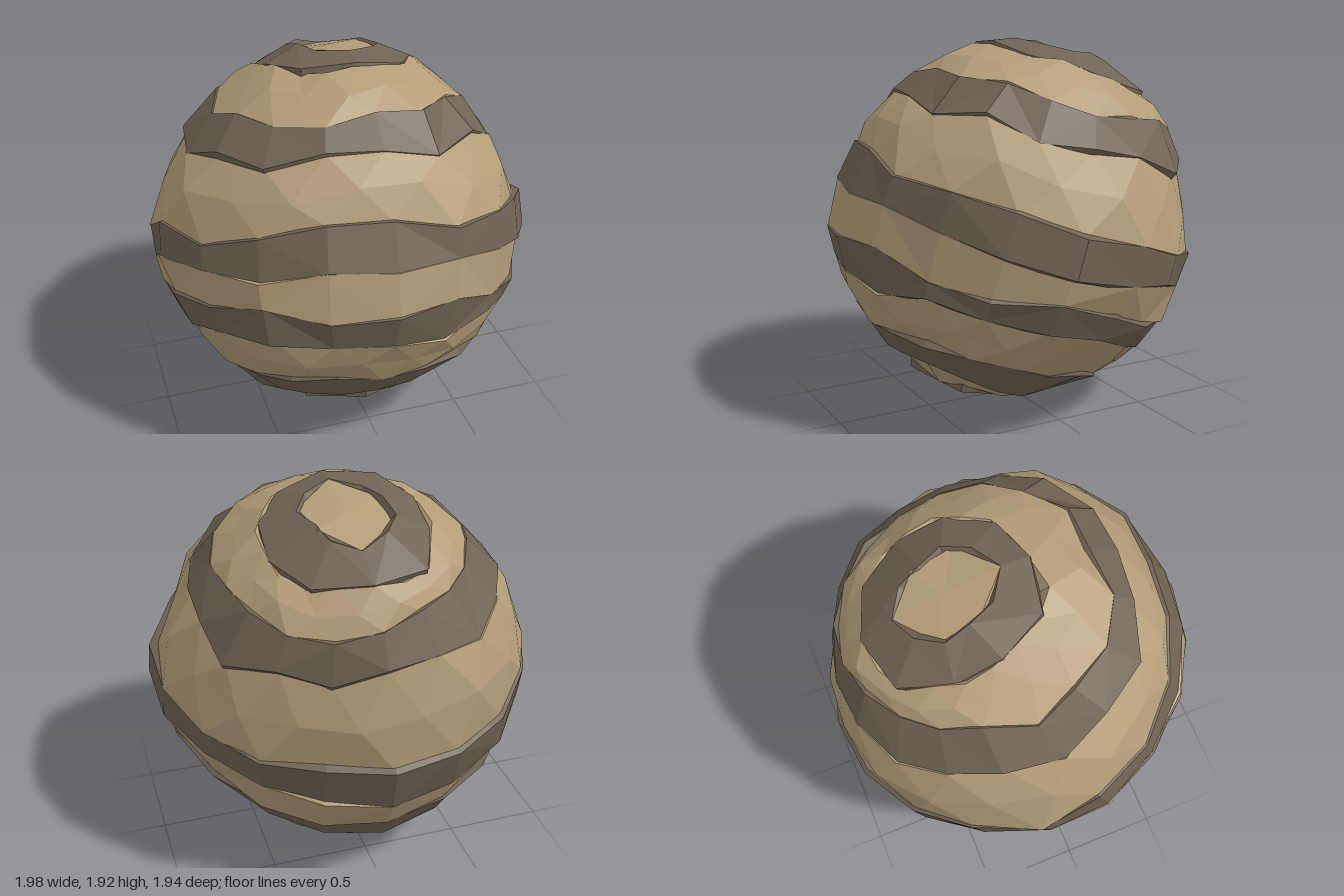
import * as THREE from 'three';

const rad = THREE.MathUtils.degToRad;

// Repeatable noise in -1..1
const noise = (a, b) => {
  const s = Math.sin(a * 127.1 + b * 311.7 + 4.3) * 43758.5453;
  return 2 * (s - Math.floor(s)) - 1;
};

// Polar angles (degrees) where one layer meets the next
const EDGES = [0, 14, 27, 43, 57, 83, 94, 105.5, 116, 134, 147, 160, 180];
const LAYERS = EDGES.length - 1;
const RADII = [0.945, 0.955, 0.945, 0.955, 0.945, 0.96, 0.95, 0.96, 0.945, 0.955, 0.935, 0.955];

// Broad swellings and hollows: direction, height
const SWELLS = [
  [0, 0.67, -0.75, 0.045], [0, 0.55, 0.7, -0.045], [0.8, 0.45, 0, -0.06], [1, -0.1, 0, 0.07],
  [-1, 0.1, 0, 0.06], [0, -0.73, -0.7, 0.035], [0, -0.5, 0.75, -0.04], [0, -0.1, 1, 0.02],
  [0.6, -0.7, 0, -0.04], [0.35, 0, -0.83, -0.055], [-0.7, 0, -0.7, 0.04], [0, 1, -0.2, 0.01],
  [0.55, 0, 0.73, -0.02], [-0.7, -0.62, 0, -0.01], [0.85, -0.4, 0, -0.04], [-0.75, 0.6, 0, -0.02],
  [0, -1, -0.1, -0.014], [-0.05, -0.07, -1, 0.025],
].map(([x, y, z, height]) => ({ dir: new THREE.Vector3(x, y, z).normalize(), height }));

const swell = dir => SWELLS.reduce((sum, s) => sum + s.height * Math.exp((dir.dot(s.dir) - 1) * 12), 0);

// Layers lean backward
const LEAN = new THREE.Euler(-0.31, 0, -0.05);

function surfacePoint(theta, azimuth, radius) {
  const dir = new THREE.Vector3().setFromSphericalCoords(1, theta, azimuth).applyEuler(LEAN);
  return dir.clone().multiplyScalar(radius + swell(dir));
}

// Wavy boundary between two layers, as a function of azimuth
function edgeAngle(k, a) {
  if (k === 0 || k === LAYERS) return EDGES[k];
  const steps = 18;
  const t = (a / (2 * Math.PI)) * steps;
  const i = Math.floor(t + 1e-6);
  const f = Math.max(0, t - i);
  const n = THREE.MathUtils.lerp(noise(i % steps, k), noise((i + 1) % steps, k), f);
  const upper = k === 3 || k === 4 ? 4 * Math.cos(a) : 0;
  return EDGES[k] + n * 2.8 + 1.5 * Math.sin(a * 2 + k) + upper;
}

// One layer: a faceted strip whose rims fold inward under its neighbours
function layerGeometry(k) {
  const last = LAYERS - 1;
  const polar = k === 0 || k === last;
  const n = polar ? 6 : (k === 1 || k === last - 1 ? 10 : 18);
  const wide = EDGES[k + 1] - EDGES[k] > 15 && !polar;
  const rows = [];
  const addRow = (id, t, depth, shift, stagger) => {
    const row = [];
    for (let j = 0; j < n; j++) {
      const a = (j / n) * 2 * Math.PI;
      const angle = THREE.MathUtils.lerp(edgeAngle(k, a), edgeAngle(k + 1, a), t) + shift;
      const r = RADII[k] - depth + 0.017 * noise(j + id * 31, k + 20);
      row.push(surfacePoint(rad(angle), a + stagger * Math.PI / n, r));
    }
    rows.push(row);
  };
  const addPole = theta => rows.push(new Array(n).fill(surfacePoint(theta, 0, RADII[k] - 0.02)));

  if (k === 0) addPole(0);
  else {
    addRow(0, 0, 0.05, -2, 0);
    addRow(1, 0, 0, 0, 0);
  }
  if (wide) addRow(2, 0.5, -0.005, 0, 1);
  if (k === last) addPole(Math.PI);
  else {
    addRow(3, 1, 0, 0, 0);
    addRow(4, 1, 0.05, 2, 0);
  }

  const points = [];
  for (let i = 0; i < rows.length - 1; i++) {
    for (let j = 0; j < n; j++) {
      const m = (j + 1) % n;
      const a = rows[i][j], b = rows[i + 1][j], c = rows[i + 1][m], d = rows[i][m];
      // Triangles follow the staggered middle row, otherwise alternate
      const staggered = wide && (i === 1 || i === 2);
      const flip = staggered ? i === 1 : (j + k) % 2 === 0;
      const faces = flip ? [[a, b, d], [b, c, d]] : [[a, b, c], [a, c, d]];
      for (const [p, q, s] of faces) {
        if (p !== q && q !== s && p !== s) points.push(p, q, s);
      }
    }
  }
  const geometry = new THREE.BufferGeometry().setFromPoints(points);
  geometry.computeVertexNormals();
  return geometry;
}

export function createModel() {
  const group = new THREE.Group();
  group.name = 'layeredBall';
  const materials = [0xb39d78, 0x6f6353].map(color =>
    new THREE.MeshStandardMaterial({ color, flatShading: true, side: THREE.DoubleSide }));

  for (let k = 0; k < LAYERS; k++) {
    const mesh = new THREE.Mesh(layerGeometry(k), materials[k % 2]);
    mesh.name = (k % 2 ? 'darkLayer' : 'lightLayer') + (k + 1);
    group.add(mesh);
  }

  // Stand the ball on the ground
  group.position.y = -new THREE.Box3().setFromObject(group, true).min.y;
  return group;
}
